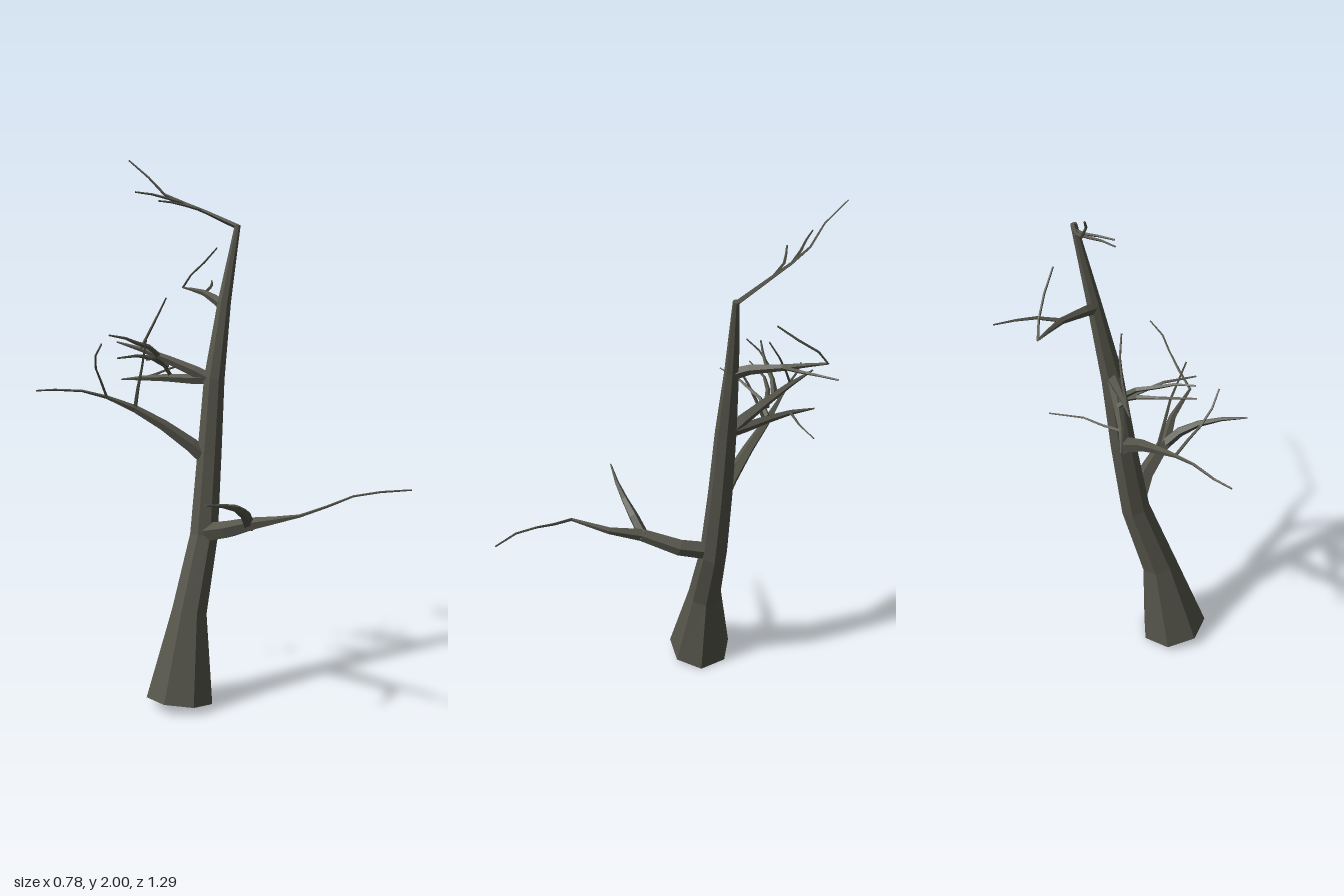
import * as THREE from 'three';

const bark = new THREE.MeshStandardMaterial({ color: 0x55554b, flatShading: true });
bark.name = 'bark';

// Closed, tapered limb through rings given as [x, y, z, radius]
function limbGeometry(rings, sides, ref) {
  const pts = rings.map(r => new THREE.Vector3(r[0], r[1], r[2]));
  const u = ref.clone(), v = new THREE.Vector3(), t = new THREE.Vector3();
  const pos = [], index = [];
  const last = pts.length - 1;
  pts.forEach((p, k) => {
    t.set(0, 0, 0);
    if (k > 0) t.add(p.clone().sub(pts[k - 1]).normalize());
    if (k < last) t.add(pts[k + 1].clone().sub(p).normalize());
    t.normalize();
    u.addScaledVector(t, -u.dot(t)).normalize();
    v.crossVectors(t, u);
    for (let i = 0; i < sides; i++) {
      const a = (i / sides) * Math.PI * 2;
      const q = p.clone().addScaledVector(u, Math.cos(a) * rings[k][3]).addScaledVector(v, Math.sin(a) * rings[k][3]);
      pos.push(q.x, q.y, q.z);
    }
  });
  const c0 = pos.length / 3;
  pos.push(...pts[0].toArray(), ...pts[last].toArray());
  for (let i = 0; i < sides; i++) {
    const j = (i + 1) % sides;
    for (let k = 0; k < last; k++) {
      const a = k * sides, b = a + sides;
      index.push(a + i, a + j, b + j, a + i, b + j, b + i);
    }
    index.push(c0, j, i, c0 + 1, last * sides + i, last * sides + j);
  }
  const g = new THREE.BufferGeometry();
  g.setAttribute('position', new THREE.Float32BufferAttribute(pos, 3));
  g.setIndex(index);
  g.computeVertexNormals();
  return g;
}

const UP = new THREE.Vector3(0, 1, 0);
const BACK = new THREE.Vector3(0, 0, -1);

export function createModel() {
  const tree = new THREE.Group();
  tree.name = 'bareTree';
  const limb = (name, rings, sides = 5, ref = UP) => {
    const m = new THREE.Mesh(limbGeometry(rings, sides, ref), bark);
    m.name = name;
    tree.add(m);
  };
  // Thin twig with an even taper
  const twig = (name, pts, r0 = 0.006, r1 = 0.003) =>
    limb(name, pts.map((p, i) => [...p, r0 + (r1 - r0) * i / (pts.length - 1)]), 4);

  // Leaning seven-sided trunk
  limb('trunk', [
    [-0.15, 0.025, -0.18, 0.125], [-0.09, 0.35, -0.18, 0.066], [0, 0.62, -0.182, 0.053],
    [0.042, 0.92, -0.188, 0.046], [0.075, 1.2, -0.19, 0.039], [0.13, 1.48, -0.185, 0.025],
    [0.192, 1.76, -0.17, 0.011]], 7, BACK);

  // Long front branch and its side branch
  limb('frontBranch', [
    [-0.005, 0.635, -0.16, 0.036], [-0.015, 0.665, -0.05, 0.033], [-0.065, 0.715, 0.085, 0.025],
    [-0.075, 0.75, 0.205, 0.014], [-0.122, 0.793, 0.335, 0.006], [-0.067, 0.825, 0.407, 0.005],
    [-0.015, 0.862, 0.48, 0.004], [0.025, 0.88, 0.56, 0.004], [0.09, 0.887, 0.643, 0.003]]);
  limb('frontSideBranch', [
    [-0.055, 0.705, 0.075, 0.022], [-0.118, 0.765, 0.1, 0.019], [-0.187, 0.8, 0.117, 0.013],
    [-0.27, 0.825, 0.127, 0.008], [-0.366, 0.845, 0.127, 0.003]]);

  // Low back branch
  limb('lowBackBranch', [
    [0.03, 0.91, -0.2, 0.031], [0, 0.955, -0.24, 0.028], [-0.06, 1.03, -0.325, 0.021],
    [-0.12, 1.09, -0.41, 0.015], [-0.19, 1.135, -0.485, 0.007], [-0.255, 1.16, -0.545, 0.005],
    [-0.33, 1.167, -0.613, 0.004], [-0.389, 1.167, -0.647, 0.003]]);
  twig('lowBackTwig', [[-0.19, 1.135, -0.485], [-0.23, 1.2, -0.475], [-0.265, 1.25, -0.465],
    [-0.295, 1.3, -0.435], [-0.31, 1.345, -0.39]]);
  twig('lowBackTwig', [[-0.12, 1.09, -0.41], [-0.135, 1.17, -0.38], [-0.15, 1.25, -0.345],
    [-0.19, 1.36, -0.285]], 0.008);

  // Two middle back branches
  limb('middleBranchUpper', [
    [0.07, 1.19, -0.19, 0.026], [0.045, 1.225, -0.26, 0.022], [0.01, 1.265, -0.36, 0.016],
    [-0.025, 1.3, -0.46, 0.01], [-0.057, 1.325, -0.555, 0.003]]);
  limb('middleBranchLower', [
    [0.07, 1.2, -0.19, 0.024], [0.045, 1.195, -0.27, 0.02], [0.015, 1.195, -0.37, 0.015],
    [-0.012, 1.19, -0.46, 0.01], [-0.03, 1.18, -0.56, 0.003]]);
  twig('middleTwig', [[0, 1.275, -0.39], [-0.05, 1.315, -0.4], [-0.12, 1.335, -0.4],
    [-0.17, 1.355, -0.405], [-0.24, 1.37, -0.42]], 0.011);
  twig('middleTwig', [[0.01, 1.24, -0.36], [-0.05, 1.275, -0.385], [-0.12, 1.288, -0.395],
    [-0.24, 1.29, -0.38]], 0.011);
  twig('middleTwig', [[0.02, 1.21, -0.36], [-0.03, 1.255, -0.35], [-0.12, 1.285, -0.305],
    [-0.22, 1.29, -0.26]], 0.01);
  twig('middleTwig', [[-0.03, 1.3, -0.46], [-0.012, 1.36, -0.435], [0.003, 1.43, -0.4],
    [0.005, 1.495, -0.36]]);
  twig('middleTwig', [[-0.012, 1.19, -0.46], [0.05, 1.2, -0.455], [0.115, 1.215, -0.445],
    [0.225, 1.225, -0.455]]);

  // High branch on the left
  limb('highBranch', [
    [0.13, 1.465, -0.185, 0.022], [0.15, 1.485, -0.24, 0.018], [0.2, 1.505, -0.335, 0.012],
    [0.225, 1.515, -0.42, 0.007], [0.24, 1.52, -0.478, 0.005], [0.245, 1.57, -0.44, 0.004],
    [0.243, 1.62, -0.37, 0.004], [0.23, 1.675, -0.298, 0.003]]);
  twig('highTwig', [[0.2, 1.505, -0.335], [0.275, 1.525, -0.365], [0.33, 1.535, -0.405],
    [0.387, 1.542, -0.452]], 0.008);

  // Thin crown at the trunk tip
  limb('crownBranch', [
    [0.192, 1.752, -0.168, 0.01], [0.155, 1.81, -0.3, 0.007], [0.13, 1.84, -0.375, 0.006],
    [0.1, 1.872, -0.445, 0.005], [0.073, 1.935, -0.5, 0.004], [0.057, 1.999, -0.583, 0.003]], 4);
  twig('crownTwig', [[0.13, 1.84, -0.375], [0.085, 1.858, -0.42], [0.04, 1.872, -0.455],
    [-0.008, 1.88, -0.495]]);
  twig('crownTwig', [[0.15, 1.815, -0.31], [0.11, 1.832, -0.355], [0.065, 1.842, -0.378],
    [0.013, 1.847, -0.4]]);

  return tree;
}
